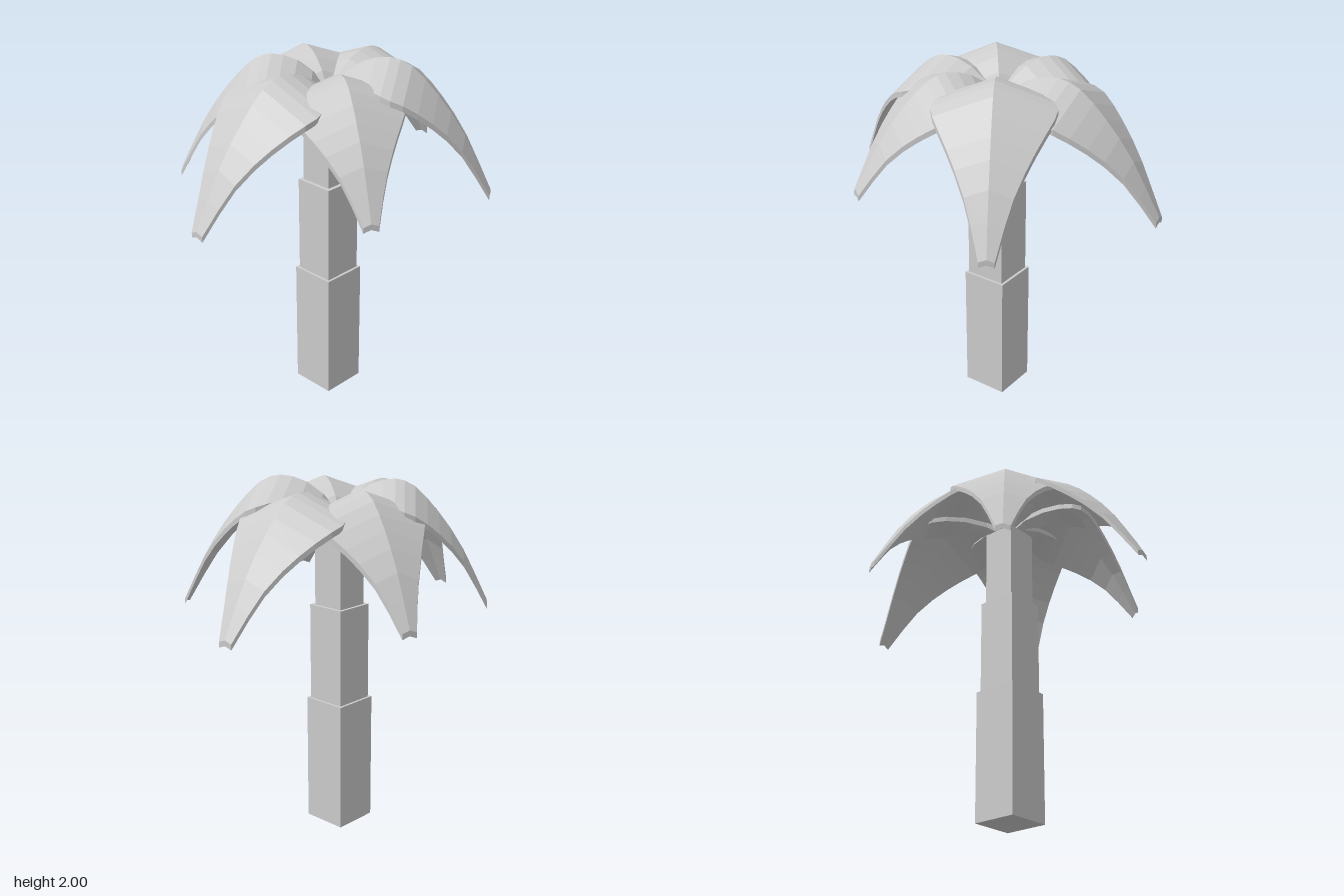
import * as THREE from 'three';

const material = new THREE.MeshStandardMaterial({ color: 0xcccccc, flatShading: true });

// Frond stations: fraction of reach, height between tip (0) and crest (1), half width
const STATIONS = [
  [0, 0.74, 0.01], [0.1, 0.86, 0.08], [0.2, 0.95, 0.17], [0.29, 0.99, 0.25], [0.37, 1, 0.3],
  [0.43, 0.985, 0.315], [0.5, 0.94, 0.3], [0.58, 0.845, 0.26], [0.66, 0.73, 0.215],
  [0.74, 0.6, 0.17], [0.83, 0.425, 0.12], [0.91, 0.23, 0.08], [1, 0, 0.04],
];
const THICKNESS = 0.03;
const FOLD = 0.37; // how far the edges drop per unit of half width

// Folded, drooping leaf running from the crown (0, 1.78, 0) along +z
function frondGeometry(reach, crest, tip) {
  const positions = [];
  const index = [];
  for (const [t, h, w] of STATIONS) {
    const z = t * reach;
    const y = t === 0 ? 1.78 : tip + (crest - tip) * h;
    const low = y - w * FOLD;
    // Loop: left edge, ridge, right edge, then the same underneath
    positions.push(
      w, low, z, 0, y, z, -w, low, z,
      -w, low - THICKNESS, z, 0, y - THICKNESS, z, w, low - THICKNESS, z,
    );
  }
  for (let i = 0; i < STATIONS.length - 1; i++) {
    for (let j = 0; j < 6; j++) {
      const a = i * 6 + j;
      const b = i * 6 + (j + 1) % 6;
      index.push(a, b, a + 6, b, b + 6, a + 6);
    }
  }
  // Blunt ends
  const e = (STATIONS.length - 1) * 6;
  index.push(e, e + 1, e + 4, e, e + 4, e + 5, e + 1, e + 2, e + 3, e + 1, e + 3, e + 4);
  index.push(0, 4, 1, 0, 5, 4, 1, 3, 2, 1, 4, 3);

  const geometry = new THREE.BufferGeometry();
  geometry.setAttribute('position', new THREE.Float32BufferAttribute(positions, 3));
  geometry.setIndex(index);
  const flat = geometry.toNonIndexed();
  flat.computeVertexNormals();
  return flat;
}

export function createModel() {
  const model = new THREE.Group();
  model.name = 'palmTree';

  // Stepped square trunk: width, bottom, top, centre offset
  const trunk = new THREE.Group();
  trunk.name = 'trunk';
  [
    [0.26, 0, 0.74, 0.01],
    [0.23, 0.74, 1.29, 0.01],
    [0.19, 1.29, 1.75, 0.008],
  ].forEach(([width, bottom, top, offset], i) => {
    const block = new THREE.Mesh(new THREE.BoxGeometry(width, top - bottom, width), material);
    block.position.set(offset, (bottom + top) / 2, offset);
    block.name = `trunkSection${i + 1}`;
    trunk.add(block);
  });
  model.add(trunk);

  // Crown of six fronds: tip x, tip z, crest height, tip height
  const crown = new THREE.Group();
  crown.name = 'crown';
  [
    [0.005, 0.93, 1.955, 1.295],
    [0.695, 0.415, 1.965, 1.395],
    [0.75, -0.47, 2.0, 1.305],
    [-0.105, -0.93, 1.955, 1.315],
    [-0.76, -0.32, 1.965, 1.365],
    [-0.625, 0.515, 1.99, 1.335],
  ].forEach(([x, z, crest, tip], i) => {
    const frond = new THREE.Mesh(frondGeometry(Math.hypot(x, z), crest, tip), material);
    frond.rotation.y = Math.atan2(x, z);
    frond.name = `frond${i + 1}`;
    crown.add(frond);
  });
  model.add(crown);

  return model;
}
